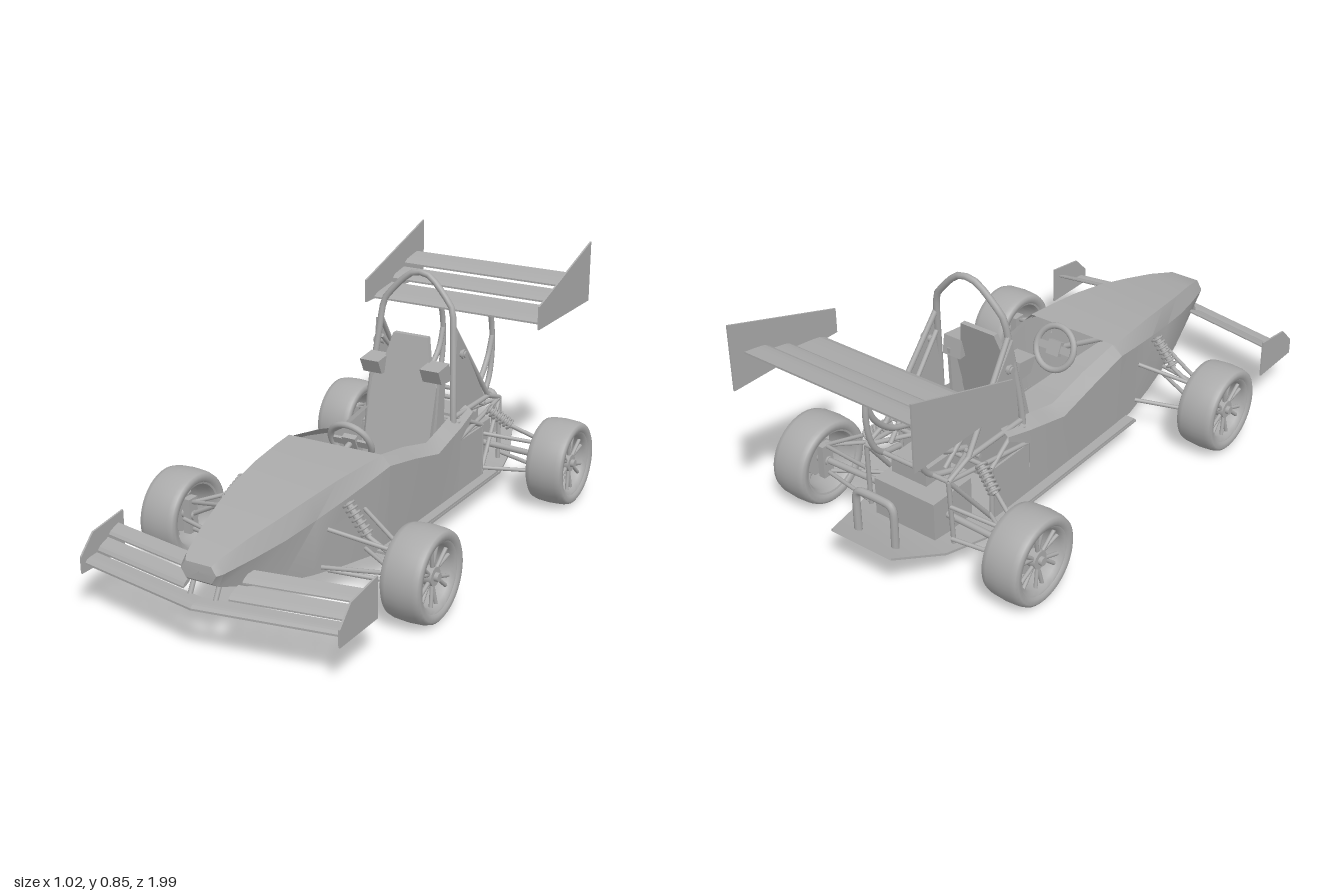
import * as THREE from 'three';
import { toCreasedNormals } from 'three/addons/utils/BufferGeometryUtils.js';

const grey = new THREE.MeshStandardMaterial({ color: 0xaaaaaa, side: THREE.DoubleSide });
grey.name = 'plainGrey';
const V = (p) => new THREE.Vector3(...p);

export function createModel() {
  const car = new THREE.Group();
  car.name = 'racingCar';

  function add(name, geo, parent = car) {
    const m = new THREE.Mesh(geo, grey);
    m.name = name;
    parent.add(m);
    return m;
  }
  function box(name, w, h, d, x, y, z, parent) {
    const m = add(name, new THREE.BoxGeometry(w, h, d), parent);
    m.position.set(x, y, z);
    return m;
  }
  // straight bar between two points
  function bar(name, a, b, r = 0.007, parent = car) {
    const A = V(a), B = V(b);
    const m = add(name, new THREE.CylinderGeometry(r, r, A.distanceTo(B), 10), parent);
    m.position.copy(A).lerp(B, 0.5);
    m.quaternion.setFromUnitVectors(new THREE.Vector3(0, 1, 0), B.sub(A).normalize());
    return m;
  }
  // bent pipe through points
  function pipe(name, pts, r, tension = 0.5) {
    const c = new THREE.CatmullRomCurve3(pts.map(V), false, 'catmullrom', tension);
    return add(name, new THREE.TubeGeometry(c, 48, r, 10));
  }
  // outline given as [z, y], extruded from x0 to x1, swept back by k per unit x
  function slab(name, zy, x0, x1, k = 0) {
    const g = new THREE.ExtrudeGeometry(new THREE.Shape(zy.map((p) => new THREE.Vector2(...p))),
      { depth: x1 - x0, bevelEnabled: false });
    g.rotateY(-Math.PI / 2).translate(x1, 0, 0);
    const p = g.attributes.position;
    for (let i = 0; i < p.count; i++) p.setZ(i, p.getZ(i) - k * Math.abs(p.getX(i)));
    g.computeVertexNormals();
    return add(name, g);
  }
  // thin cambered wing section from leading edge to trailing edge
  function foil(zf, yf, zr, yr, t) {
    const out = [];
    for (let i = 0; i <= 6; i++) {
      const u = i / 6;
      out.push([zf + (zr - zf) * u, yf + (yr - yf) * u + t * (Math.sin(Math.PI * Math.sqrt(u)) * 0.35 + 0.2)]);
    }
    for (let i = 6; i >= 0; i--) {
      const u = i / 6;
      out.push([zf + (zr - zf) * u, yf + (yr - yf) * u - t * (Math.sin(Math.PI * u) * 0.35 + 0.2)]);
    }
    return out;
  }
  function loft(name, rings, closed) {
    const n = rings[0].length, idx = [];
    for (let i = 0; i < rings.length - 1; i++) {
      for (let j = 0; j < (closed ? n : n - 1); j++) {
        const a = i * n + j, b = i * n + (j + 1) % n;
        idx.push(a, a + n, b, b, a + n, b + n);
      }
    }
    const g = new THREE.BufferGeometry();
    g.setAttribute('position', new THREE.Float32BufferAttribute(rings.flat(2), 3));
    g.setIndex(idx);
    return add(name, toCreasedNormals(g, 0.4));
  }

  // nose: z, then half width and height of the top, shoulder and bottom corners
  const nose = [
    [0.952, 0.001, 0.265, 0.001, 0.262, 0.001, 0.26],
    [0.95, 0.045, 0.288, 0.062, 0.262, 0.045, 0.235],
    [0.93, 0.055, 0.302, 0.074, 0.264, 0.055, 0.22],
    [0.82, 0.082, 0.332, 0.105, 0.277, 0.085, 0.183],
    [0.7, 0.11, 0.355, 0.134, 0.292, 0.115, 0.15],
    [0.57, 0.135, 0.378, 0.157, 0.312, 0.145, 0.128],
    [0.44, 0.152, 0.393, 0.177, 0.333, 0.168, 0.11],
    [0.3, 0.167, 0.4, 0.195, 0.356, 0.186, 0.092],
    [0.21, 0.175, 0.402, 0.204, 0.37, 0.19, 0.09],
  ].map(([z, a, b, c, d, e, f]) =>
    [[a, b, z], [c, d, z], [e, f, z], [-e, f, z], [-c, d, z], [-a, b, z]]);
  loft('noseBody', nose, true);

  // floor: flat pan with a tapered, upswept tail
  const floor = [[0.28, 0.225, 0.09], [-0.55, 0.225, 0.09], [-0.7, 0.19, 0.105], [-0.87, 0.12, 0.158]];
  loft('floorPan', floor.map(([z, w, y]) =>
    [[w, y, z], [w, y - 0.008, z], [-w, y - 0.008, z], [-w, y, z]]), true);

  // seat
  const s = new THREE.Shape([[-0.125, 0.1], [0.125, 0.1], [0.125, 0.48], [0.09, 0.54], [0.066, 0.637],
    [-0.066, 0.637], [-0.09, 0.54], [-0.125, 0.48]].map((p) => new THREE.Vector2(...p)));
  const back = new THREE.ExtrudeGeometry(s, { depth: 0.02, bevelEnabled: false });
  const bp = back.attributes.position;
  for (let i = 0; i < bp.count; i++) bp.setZ(i, bp.getZ(i) - 0.16 - (bp.getY(i) - 0.1) * 0.26);
  back.computeVertexNormals();
  add('seatBack', back);
  box('seatPan', 0.29, 0.015, 0.36, 0, 0.115, 0.02);
  box('firewall', 0.37, 0.26, 0.01, 0, 0.22, -0.3);

  // steering wheel and column
  const wheel = new THREE.Group();
  wheel.name = 'steeringWheel';
  add('steeringRim', new THREE.TorusGeometry(0.075, 0.011, 10, 36), wheel);
  box('steeringSpoke', 0.14, 0.025, 0.01, 0, 0, 0, wheel);
  box('steeringBoss', 0.05, 0.05, 0.02, 0, 0, 0, wheel);
  wheel.position.set(0, 0.378, 0.11);
  wheel.rotation.x = 0.42;
  car.add(wheel);
  bar('steeringColumn', [0, 0.375, 0.115], [0, 0.28, 0.4], 0.01);

  // roll hoop
  pipe('rollHoop', [[-0.175, 0.1, -0.28], [-0.165, 0.38, -0.288], [-0.145, 0.62, -0.318], [-0.133, 0.725, -0.331],
    [-0.105, 0.768, -0.336], [-0.045, 0.828, -0.343], [0, 0.842, -0.345], [0.045, 0.828, -0.343],
    [0.105, 0.768, -0.336], [0.133, 0.725, -0.331], [0.145, 0.62, -0.318], [0.165, 0.38, -0.288],
    [0.175, 0.1, -0.28]], 0.011);

  // wheel lathe profiles as [radius, width position]
  const lathe = (pts) => new THREE.LatheGeometry(pts.map((p) => new THREE.Vector2(...p)), 40).rotateZ(-Math.PI / 2);
  const tyreGeo = lathe([[0.112, -0.058], [0.12, -0.067], [0.135, -0.068], [0.144, -0.062], [0.149, -0.045],
    [0.152, 0], [0.149, 0.045], [0.144, 0.062], [0.135, 0.068], [0.12, 0.067], [0.112, 0.058]]);
  const rimGeo = toCreasedNormals(lathe([[0.114, -0.06], [0.107, -0.058], [0.1, -0.045], [0.096, 0], [0.098, 0.045],
    [0.107, 0.058], [0.114, 0.06], [0.116, 0.05], [0.112, 0], [0.116, -0.05], [0.114, -0.06]]), 0.7);
  function roadWheel(side, x, z, name) {
    const w = new THREE.Group();
    w.name = name;
    add('tyre', tyreGeo, w);
    add('rim', rimGeo, w);
    for (let i = 0; i < 6; i++) {
      const a = i * Math.PI / 3, y = Math.cos(a), q = Math.sin(a);
      for (const t of [-0.16, 0.16]) {
        bar('spoke', [0.035, 0.025 * y, 0.025 * q],
          [0.04, 0.099 * Math.cos(a + t), 0.099 * Math.sin(a + t)], 0.0065, w);
      }
    }
    const cyl = (n, r, l, px) => {
      add(n, new THREE.CylinderGeometry(r, r, l, 24).rotateZ(Math.PI / 2), w).position.x = px;
    };
    cyl('hub', 0.03, 0.03, 0.032);
    cyl('axleNut', 0.014, 0.03, 0.045);
    cyl('axle', 0.016, 0.09, -0.005);
    cyl('brakeDisc', 0.062, 0.008, 0);
    box('upright', 0.025, 0.12, 0.045, -0.03, 0, 0, w);
    w.position.set(side * x, 0.153, z);
    if (side < 0) w.rotation.y = Math.PI;
    car.add(w);
  }
  // spring and damper
  function coilover(name, a, b) {
    const m = bar(name, a, b, 0.011);
    const len = V(a).distanceTo(V(b));
    for (let i = 0; i < 7; i++) {
      const ring = add('coil', new THREE.TorusGeometry(0.018, 0.0045, 6, 16).rotateX(Math.PI / 2), m);
      ring.position.y = len * (i / 7 - 0.4);
    }
  }

  for (const d of [1, -1]) {
    const P = (x, y, z) => [d * x, y, z];
    const plate = (name, zy, x, t = 0.008) => slab(name, zy, d * x - t / 2, d * x + t / 2);

    // cockpit side: inner lip, shoulder, bottom edge
    loft('cockpitSide', [
      [0.21, 0.165, 0.4, 0.204, 0.37, 0.19, 0.09], [0.05, 0.16, 0.372, 0.206, 0.34, 0.192, 0.09],
      [-0.115, 0.155, 0.33, 0.204, 0.3, 0.192, 0.09], [-0.2, 0.153, 0.348, 0.201, 0.318, 0.192, 0.09],
      [-0.286, 0.15, 0.366, 0.198, 0.336, 0.192, 0.09], [-0.287, 0.15, 0.366, 0.198, 0.336, 0.196, 0.286],
      [-0.39, 0.16, 0.38, 0.19, 0.36, 0.19, 0.345],
    ].map(([z, a, b, c, e, f, g]) => [P(a, b, z), P(c, e, z), P(f, g, z)]), false);
    box('rearSidePanel', 0.008, 0.195, 0.18, d * 0.188, 0.187, -0.375);
    box('floorEdge', 0.035, 0.008, 0.8, d * 0.207, 0.095, -0.13);

    // seat bolsters and shoulder wings
    plate('seatBolster', [[-0.215, 0.12], [-0.232, 0.37], [-0.25, 0.52], [-0.29, 0.52], [-0.27, 0.12]], 0.127, 0.012);
    slab('shoulderWing', [[-0.2, 0.55], [-0.28, 0.56], [-0.29, 0.495], [-0.225, 0.5]],
      d > 0 ? 0.08 : -0.152, d > 0 ? 0.152 : -0.08);

    // hoop brace, panel and knob
    bar('hoopBrace', P(0.142, 0.676, -0.323), P(0.165, 0.365, -0.555), 0.009);
    bar('hoopRail', P(0.165, 0.365, -0.29), P(0.165, 0.365, -0.555), 0.009);
    plate('hoopPanel', [[-0.323, 0.665], [-0.289, 0.365], [-0.54, 0.365]], 0.155);
    bar('harnessKnob', P(0.14, 0.577, -0.35), P(0.18, 0.577, -0.35), 0.012);
    bar('knobCap', P(0.166, 0.577, -0.35), P(0.174, 0.577, -0.35), 0.017);

    // rear frame
    for (const [a, b] of [
      [[0.185, 0.1, -0.47], [0.185, 0.285, -0.47]], [[0.185, 0.285, -0.29], [0.165, 0.33, -0.65]],
      [[0.17, 0.1, -0.64], [0.165, 0.33, -0.65]], [[0.185, 0.1, -0.47], [0.165, 0.33, -0.65]],
      [[0.165, 0.365, -0.555], [0.165, 0.33, -0.65]], [[0.185, 0.285, -0.47], [0.165, 0.365, -0.3]],
      [[0.165, 0.33, -0.65], [0.09, 0.31, -0.47]], [[0.14, 0.6, -0.33], [0.11, 0.33, -0.6]],
    ]) bar('frameTube', P(...a), P(...b), 0.008);

    // curved rear wing stays
    pipe('wingStay', [P(0.1, 0.645, -0.685), P(0.1, 0.57, -0.705), P(0.1, 0.48, -0.712), P(0.1, 0.39, -0.695),
      P(0.1, 0.33, -0.65), P(0.11, 0.3, -0.56)], 0.01);
    pipe('wingStayBrace', [P(0.1, 0.54, -0.71), P(0.1, 0.46, -0.675), P(0.105, 0.39, -0.6), P(0.11, 0.35, -0.5)], 0.01);

    // wing end plates
    plate('rearEndPlate', [[-0.565, 0.632], [-0.565, 0.715], [-0.997, 0.852], [-0.997, 0.632]], 0.344, 0.006);
    plate('frontEndPlate', [[0.93, 0.135], [0.725, 0.135], [0.725, 0.27], [0.87, 0.25], [0.93, 0.19]], 0.456, 0.006);

    // front wing, swept back from the middle
    const span = (x0) => (d > 0 ? [x0, 0.455] : [-0.455, -x0]);
    slab('frontWingMain', foil(0.995, 0.163, 0.94, 0.175, 0.016), ...span(0), 0.18);
    slab('frontWingMiddle', foil(0.935, 0.18, 0.885, 0.205, 0.014), ...span(0.08), 0.18);
    slab('frontWingUpper', foil(0.88, 0.212, 0.833, 0.234, 0.012), ...span(0.09), 0.18);
    bar('frontWingMount', P(0.045, 0.165, 0.94), P(0.045, 0.24, 0.9), 0.008);

    // front suspension
    roadWheel(d, 0.444, 0.437, 'frontWheel');
    for (const [a, b] of [
      [[0.4, 0.105, 0.44], [0.17, 0.135, 0.53]], [[0.4, 0.105, 0.44], [0.185, 0.13, 0.33]],
      [[0.4, 0.2, 0.44], [0.165, 0.265, 0.52]], [[0.4, 0.2, 0.44], [0.188, 0.27, 0.34]],
      [[0.4, 0.16, 0.49], [0.16, 0.15, 0.55]],
    ]) bar('frontArm', P(...a), P(...b));
    bar('frontPushrod', P(0.4, 0.16, 0.44), P(0.25, 0.24, 0.445), 0.008);
    coilover('frontDamper', P(0.265, 0.235, 0.445), P(0.19, 0.33, 0.445));

    // rear suspension and drive shaft
    roadWheel(d, 0.428, -0.604, 'rearWheel');
    for (const [a, b] of [
      [[0.4, 0.105, -0.6], [0.185, 0.12, -0.48]], [[0.4, 0.105, -0.6], [0.17, 0.12, -0.65]],
      [[0.4, 0.205, -0.6], [0.18, 0.25, -0.48]], [[0.4, 0.205, -0.6], [0.17, 0.24, -0.65]],
      [[0.4, 0.205, -0.6], [0.25, 0.28, -0.54]],
    ]) bar('rearArm', P(...a), P(...b));
    bar('driveShaft', P(0.4, 0.155, -0.605), P(0.1, 0.165, -0.605), 0.011);
    coilover('rearDamper', P(0.265, 0.27, -0.55), P(0.185, 0.33, -0.52));
  }

  // rear wing planes
  [[-0.62, 0.637, -0.75, 0.662], [-0.757, 0.676, -0.842, 0.7], [-0.848, 0.714, -0.945, 0.738]].forEach((e) =>
    slab('rearWingPlane', foil(...e, 0.016), -0.342, 0.342));

  // engine bay
  box('engineBlock', 0.24, 0.14, 0.18, 0, 0.165, -0.58);
  box('gearCase', 0.14, 0.07, 0.12, 0.03, 0.26, -0.55);
  for (const [y, z, w] of [[0.285, -0.47, 0.185], [0.33, -0.65, 0.165], [0.35, -0.51, 0.175]])
    bar('crossTube', [-w, y, z], [w, y, z], 0.008);

  // rear jacking hoop
  pipe('rearHoop', [[-0.075, 0.13, -0.8], [-0.075, 0.26, -0.8], [-0.055, 0.287, -0.8], [0.055, 0.287, -0.8],
    [0.075, 0.26, -0.8], [0.075, 0.13, -0.8]], 0.013, 0.3);
  return car;
}
